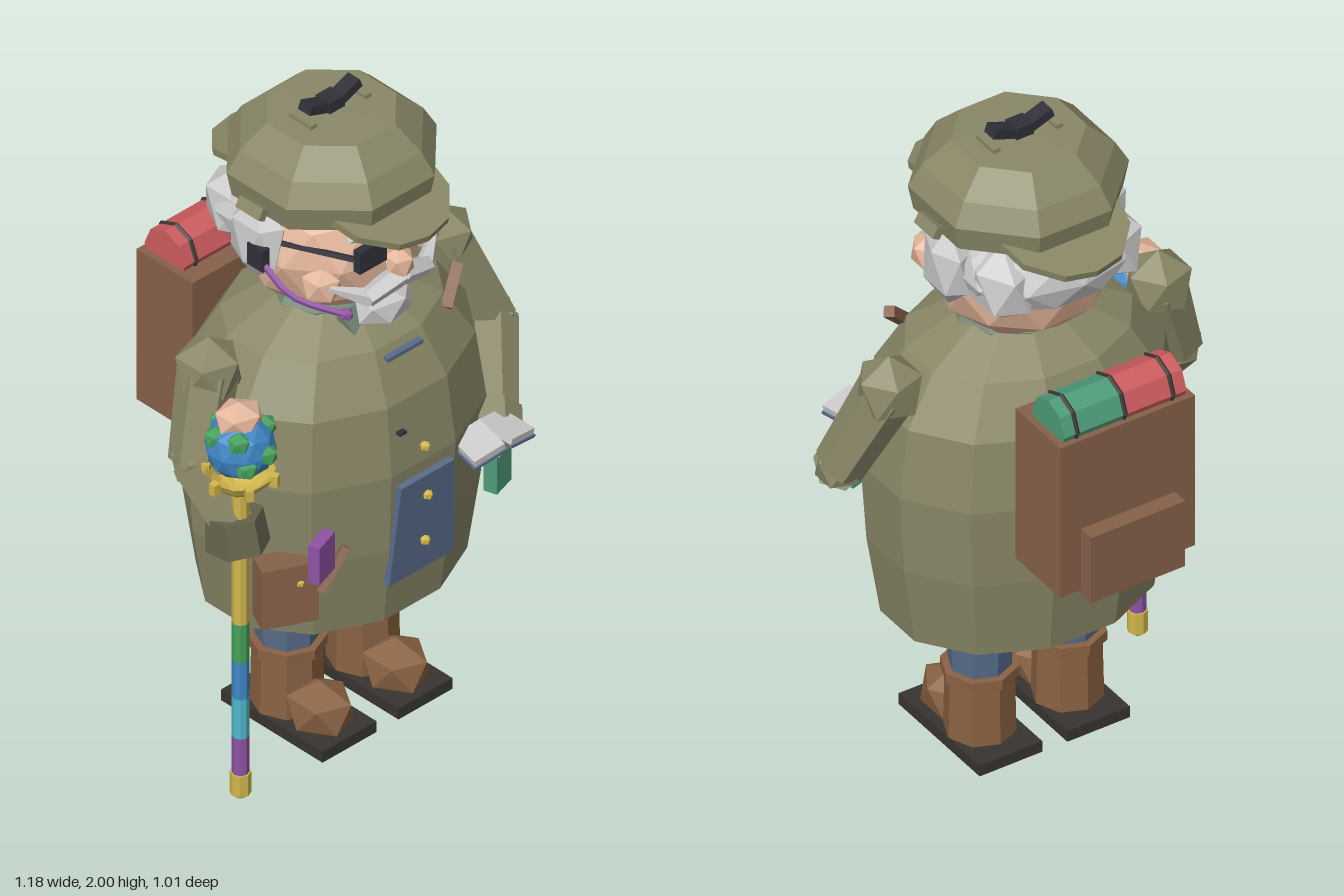
import * as THREE from 'three';

const mats = {};
const mat = (color) => (mats[color] ??= new THREE.MeshStandardMaterial({ color, flatShading: true, side: THREE.DoubleSide }));

const OLIVE = 0x8a8768, CUFF = 0x66644e, SKIN = 0xe6b79c, HAIR = 0xc6c8ca, JEANS = 0x586c8a, BOOT = 0x8a6242,
  LEATHER = 0x86614a, SOLE = 0x38342f, BLACK = 0x30303a, GOLD = 0xd2b64c, GREEN = 0x4f9c78, RED = 0xcc5c60,
  PURPLE = 0x8f52a4, GLOBE = 0x3f86c4, PAPER = 0xd6d6d2, SCARF = 0x6f8472, CYAN = 0x4fb8c8, LAND = 0x45a05c;

export function createModel() {
  const root = new THREE.Group();
  const V = (p) => new THREE.Vector3(...p);

  const add = (name, geo, color, pos = [0, 0, 0], rot = [0, 0, 0]) => {
    const m = new THREE.Mesh(geo, mat(color));
    m.name = name;
    m.position.set(...pos);
    m.rotation.set(...rot);
    root.add(m);
    return m;
  };
  const box = (name, size, color, pos, rot) => add(name, new THREE.BoxGeometry(...size), color, pos, rot);
  // Icosahedron with a vertex pointing up, stretched to the given radii
  const blob = (name, radii, color, pos, detail = 0, rot) => {
    const g = new THREE.IcosahedronGeometry(1, detail).rotateZ(-0.5536);
    return add(name, g.scale(...radii), color, pos, rot);
  };
  // Tapered cylinder from a to b
  const limb = (name, a, b, ra, rb, color, sides = 6) => {
    const d = V(b).sub(V(a));
    const m = add(name, new THREE.CylinderGeometry(rb, ra, d.length(), sides), color);
    m.position.copy(V(a).addScaledVector(d, 0.5));
    m.quaternion.setFromUnitVectors(new THREE.Vector3(0, 1, 0), d.normalize());
    return m;
  };
  // Faceted lathe with a flat side to the front; points are [radius, y]
  const lathe = (name, pts, sides, color, depth, z) => {
    const g = new THREE.LatheGeometry(pts.map((p) => new THREE.Vector2(...p)), sides, Math.PI / sides);
    return add(name, g.scale(1, 1, depth), color, [0, 0, z]);
  };

  // Coat, collar and front details
  lathe('coat', [[0, 0.47], [0.4, 0.47], [0.44, 0.72], [0.457, 0.97], [0.425, 1.18], [0.33, 1.32], [0.18, 1.4], [0, 1.4]],
    12, OLIVE, 0.8, 0.075);
  const collar = add('scarf', new THREE.TorusGeometry(0.16, 0.03, 5, 10), SCARF, [0, 1.395, 0.08], [Math.PI / 2, 0, 0]);
  collar.scale.y = 0.85;
  box('scarfEnd', [0.08, 0.07, 0.03], SCARF, [-0.07, 1.37, 0.24], [-0.6, 0, 0.2]);
  box('collarPin', [0.13, 0.012, 0.02], JEANS, [0, 1.293, 0.35]);
  box('lapelStitch', [0.025, 0.008, 0.02], BLACK, [-0.075, 1.095, 0.42]);
  const pocket = new THREE.Shape([[-0.118, 0.61], [0.118, 0.61], [0.098, 0.935], [-0.098, 0.935]].map((p) => new THREE.Vector2(...p)));
  add('frontPocket', new THREE.ExtrudeGeometry(pocket, { depth: 0.03, bevelEnabled: false }).translate(0, -0.61, 0), JEANS,
    [0, 0.61, 0.39], [0.08, 0, 0]);
  [[1.02, 0.435], [0.865, 0.445], [0.71, 0.435]].forEach(([y, z]) => blob('coatButton', [0.016, 0.016, 0.016], GOLD, [0, y, z]));
  limb('pipe', [0.22, 1.285, 0.285], [0.3, 1.37, 0.245], 0.022, 0.022, LEATHER, 4);

  // Legs and boots
  for (const s of [-1, 1]) {
    const x = 0.14 * s;
    limb('trouserLeg', [x, 0.24, 0.05], [x, 0.5, 0.05], 0.085, 0.1, JEANS, 8);
    limb('bootShaft', [x, 0.05, 0.05], [x, 0.26, 0.05], 0.1, 0.095, BOOT, 8);
    limb('bootCuff', [x, 0.24, 0.05], [x, 0.27, 0.05], 0.108, 0.108, BOOT, 8);
    blob('bootToe', [0.095, 0.085, 0.11], BOOT, [x, 0.095, 0.175]);
    box('bootSole', [0.2, 0.035, 0.39], SOLE, [x, 0.037, 0.095]);
  }

  // Head, hair and face
  blob('head', [0.265, 0.24, 0.26], SKIN, [0, 1.58, 0.065], 1);
  blob('backHair', [0.265, 0.135, 0.19], HAIR, [0, 1.635, -0.055], 1);
  blob('nose', [0.045, 0.05, 0.045], SKIN, [0, 1.575, 0.335]);
  blob('beard', [0.1, 0.06, 0.065], HAIR, [0, 1.41, 0.275]);
  box('mouth', [0.11, 0.02, 0.02], 0xa85a58, [0, 1.475, 0.285]);
  box('glassesBridge', [0.1, 0.012, 0.015], BLACK, [0, 1.65, 0.33]);
  for (const s of [-1, 1]) {
    blob('sideHair', [0.06, 0.13, 0.1], HAIR, [0.245 * s, 1.63, 0.045]);
    blob('backSideHair', [0.09, 0.12, 0.12], HAIR, [0.17 * s, 1.63, -0.1]);
    blob('cheek', [0.06, 0.06, 0.06], SKIN, [0.18 * s, 1.535, 0.225]);
    box('glassesLens', [0.1, 0.07, 0.025], BLACK, [0.1 * s, 1.645, 0.328]);
    limb('glassesTemple', [0.14 * s, 1.645, 0.325], [0.245 * s, 1.645, 0.1], 0.01, 0.01, BLACK, 4);
    blob('eyebrow', [0.06, 0.016, 0.025], HAIR, [0.1 * s, 1.7, 0.3]);
    limb('moustache', [0, 1.54, 0.34], [0.11 * s, 1.505, 0.325], 0.035, 0.028, HAIR, 5);
    limb('moustacheCurl', [0.1 * s, 1.503, 0.325], [0.195 * s, 1.55, 0.27], 0.028, 0.008, HAIR, 5);
  }

  // Headset at the right ear
  const micPath = new THREE.CatmullRomCurve3([[-0.285, 1.6, 0.1], [-0.27, 1.53, 0.2], [-0.18, 1.48, 0.31]].map(V));
  add('microphoneArm', new THREE.TubeGeometry(micPath, 6, 0.01, 5), PURPLE);
  blob('microphone', [0.02, 0.02, 0.02], PURPLE, [-0.175, 1.48, 0.315]);
  box('earpiece', [0.025, 0.07, 0.06], BLACK, [-0.285, 1.61, 0.09]);

  // Cap with front and back brims, straps and bow
  lathe('cap', [[0, 1.735], [0.285, 1.735], [0.3, 1.81], [0.262, 1.875], [0.185, 1.945], [0, 1.95]], 8, OLIVE, 1, 0.075);
  const brim = new THREE.Shape([[-0.19, 0.17], [0.19, 0.17], [0.17, 0.29], [0.09, 0.375], [0, 0.395], [-0.09, 0.375], [-0.17, 0.29]]
    .map((p) => new THREE.Vector2(...p)));
  for (const turn of [0, Math.PI]) {
    const g = new THREE.ExtrudeGeometry(brim, { depth: 0.022, bevelEnabled: false });
    g.rotateX(Math.PI / 2).rotateX(0.27).translate(0, 1.828, 0).rotateY(turn);
    add(turn ? 'backBrim' : 'frontBrim', g, OLIVE, [0, 0, 0.072]);
  }
  box('bowKnot', [0.055, 0.04, 0.055], BLACK, [0, 1.965, 0.07]);
  for (const s of [-1, 1]) {
    box('bowLoop', [0.07, 0.028, 0.045], BLACK, [0.06 * s, 1.978, 0.07], [0, 0, 0.35 * s]);
    box('crownStrap', [0.022, 0.022, 0.085], OLIVE, [0.1 * s, 1.948, 0.07]);
    box('capTab', [0.025, 0.035, 0.09], OLIVE, [0.288 * s, 1.758, 0.07], [0, 0, 0.5 * s]);
  }

  // Shoulders and arms
  const arms = {
    left: [[0.43, 1.29, 0.05], [0.53, 1.02, 0.14], [0.33, 0.895, 0.36]],
    right: [[-0.43, 1.29, 0.05], [-0.51, 1.04, 0.08], [-0.48, 0.88, 0.2]],
  };
  for (const [side, [shoulder, elbow, wrist]] of Object.entries(arms)) {
    blob(side + 'Shoulder', [0.1, 0.105, 0.1], OLIVE, shoulder);
    limb(side + 'UpperArm', shoulder, elbow, 0.085, 0.072, OLIVE);
    blob(side + 'Elbow', [0.072, 0.072, 0.072], OLIVE, elbow);
    limb(side + 'Forearm', elbow, wrist, 0.072, 0.065, OLIVE);
  }
  limb('leftCuff', [0.355, 0.91, 0.335], [0.315, 0.885, 0.38], 0.072, 0.072, OLIVE);
  blob('leftHand', [0.05, 0.045, 0.05], SKIN, [0.275, 0.875, 0.405]);
  limb('rightCuff', [-0.48, 0.82, 0.215], [-0.48, 0.92, 0.2], 0.09, 0.08, CUFF);
  blob('rightWrist', [0.045, 0.04, 0.045], SKIN, [-0.48, 0.87, 0.22]);

  // Open book and hanging green notebook
  for (const s of [-1, 1]) {
    box('bookPages', [0.1, 0.02, 0.115], PAPER, [0.24 + 0.053 * s, 0.937, 0.44], [0.12, 0.13 * s, -0.22 * s]);
    box('bookCover', [0.105, 0.008, 0.12], JEANS, [0.24 + 0.053 * s, 0.922, 0.44], [0.12, 0.13 * s, -0.22 * s]);
  }
  box('greenNotebook', [0.08, 0.12, 0.04], GREEN, [0.3, 0.78, 0.4], [0, 0.3, 0]);

  // Staff in coloured bands, topped by a globe in a gold cradle
  const [sx, sz] = [-0.48, 0.225];
  const bands = [[1.0, GOLD], [0.575, LAND], [0.45, GLOBE], [0.33, CYAN], [0.2, PURPLE], [0.08, GOLD], [0.012]];
  bands.slice(0, -1).forEach(([top, color], i) => {
    const r = i === 5 ? 0.029 : 0.024;
    limb('staffBand', [sx, bands[i + 1][0], sz], [sx, top, sz], r, r, color, 8);
  });
  limb('staffTip', [sx, 0, sz], [sx, 0.015, sz], 0.015, 0.02, LAND, 8);
  add('globeCradle', new THREE.SphereGeometry(0.103, 10, 4, 0, Math.PI * 2, Math.PI * 0.62, Math.PI * 0.38), GOLD, [sx, 1.11, sz]);
  for (let i = 0; i < 6; i++) {
    const a = (i * Math.PI) / 3;
    box('cradleProng', [0.022, 0.035, 0.022], GOLD, [sx + 0.095 * Math.cos(a), 1.06, sz + 0.095 * Math.sin(a)], [0, -a, 0]);
  }
  blob('globe', [0.098, 0.098, 0.098], GLOBE, [sx, 1.16, sz], 1);
  [[0.2, 0, 1], [0.75, 0.6, 0.4], [-0.8, 0.5, -0.3], [0.7, -0.5, -0.5], [-0.5, -0.3, 0.8], [0, 0.4, -0.9], [-0.6, 0.6, 0.55]]
    .forEach((d) => blob('globeLand', [0.034, 0.034, 0.034], LAND, V(d).setLength(0.083).add(V([sx, 1.16, sz])).toArray()));
  blob('rightHand', [0.075, 0.05, 0.068], SKIN, [sx, 1.245, sz - 0.005]);

  // Hip pouch, card and stick
  box('hipPouch', [0.16, 0.19, 0.08], LEATHER, [-0.375, 0.665, 0.29], [0, -0.45, 0]);
  blob('pouchButton', [0.013, 0.013, 0.013], GOLD, [-0.365, 0.7, 0.335]);
  box('purpleCard', [0.09, 0.12, 0.035], PURPLE, [-0.337, 0.8, 0.387], [0, 0.33, 0]);
  limb('hipStick', [-0.325, 0.67, 0.37], [-0.235, 0.775, 0.375], 0.016, 0.016, LEATHER, 4);

  // Backpack with pouch and strapped bedrolls
  box('backpack', [0.43, 0.495, 0.215], LEATHER, [0, 1.0625, -0.343]);
  box('backpackPouch', [0.3, 0.215, 0.1], LEATHER, [0, 0.91, -0.45]);
  const rollY = 1.328, rollZ = -0.362;
  limb('redBedroll', [-0.195, rollY, rollZ], [0, rollY, rollZ], 0.078, 0.078, RED, 8);
  limb('greenBedroll', [0, rollY, rollZ], [0.195, rollY, rollZ], 0.078, 0.078, GREEN, 8);
  [-0.153, 0, 0.153].forEach((x) =>
    add('bedrollStrap', new THREE.TorusGeometry(0.078, 0.007, 4, 8), SOLE, [x, rollY, rollZ], [0, Math.PI / 2, 0]));

  return root;
}
